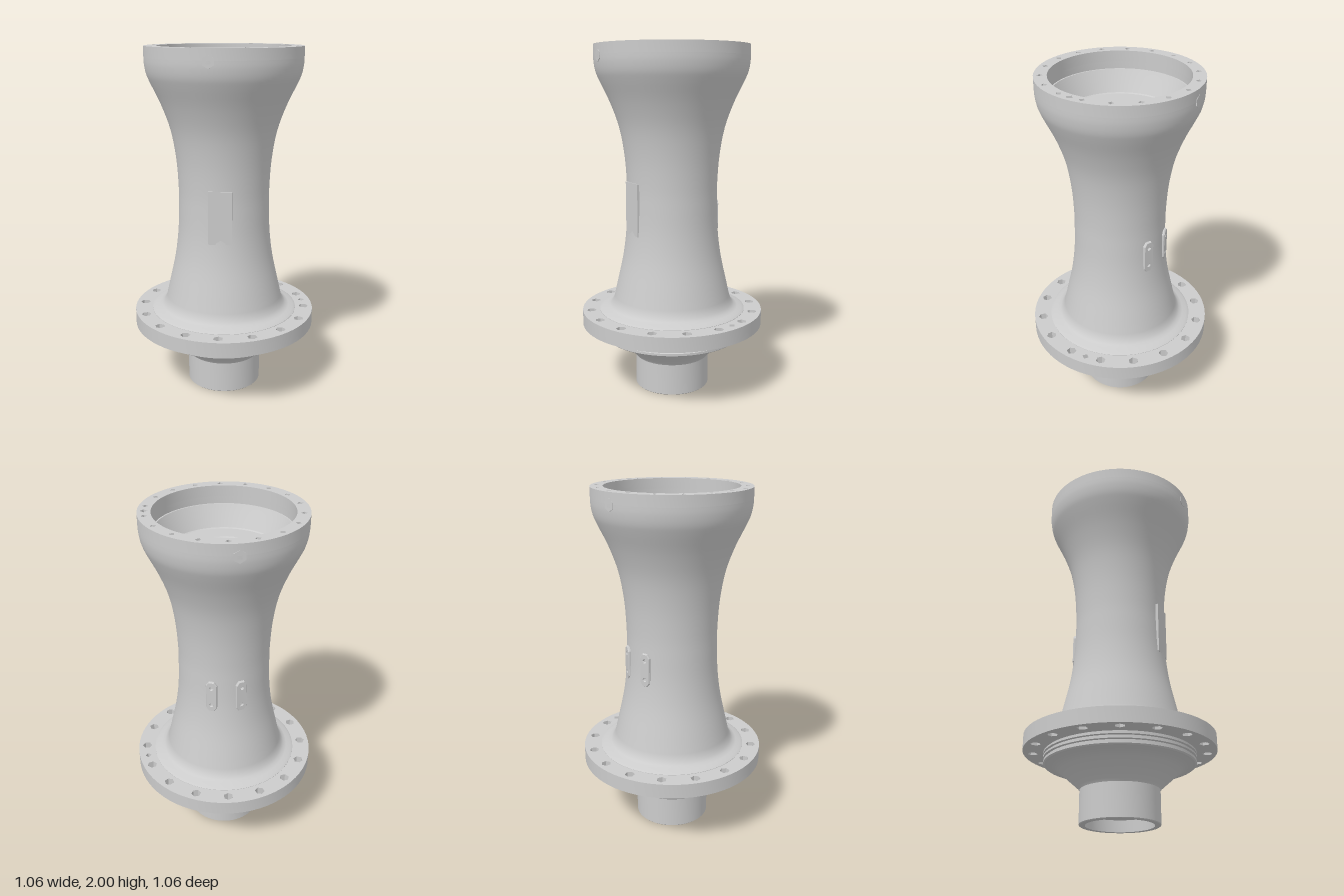
import * as THREE from 'three';
import { toCreasedNormals } from 'three/addons/utils/BufferGeometryUtils.js';

const grey = new THREE.MeshStandardMaterial({ color: 0xcccccc });
const greyDouble = new THREE.MeshStandardMaterial({ color: 0xcccccc, side: THREE.DoubleSide });
const SEGMENTS = 72;

function mesh(name, geometry, material = grey) {
  const m = new THREE.Mesh(geometry, material);
  m.name = name;
  return m;
}

function lathe(name, points) {
  const geo = new THREE.LatheGeometry(points.map(([r, y]) => new THREE.Vector2(r, y)), SEGMENTS);
  return mesh(name, toCreasedNormals(geo, 0.4));
}

// Regular polygon path used for drilled holes
function polygonHole(x, y, radius, sides, turn) {
  const pts = [];
  for (let i = 0; i < sides; i++) {
    const a = turn - (i / sides) * Math.PI * 2;
    pts.push(new THREE.Vector2(x + radius * Math.cos(a), y + radius * Math.sin(a)));
  }
  return new THREE.Path(pts);
}

// Flat ring with a list of holes { angle, at, radius, sides }
function drilledRing(name, outer, inner, y0, y1, holes) {
  const shape = new THREE.Shape().absarc(0, 0, outer, 0, Math.PI * 2);
  shape.holes.push(new THREE.Path().absarc(0, 0, inner, 0, Math.PI * 2, true));
  for (const h of holes) {
    shape.holes.push(polygonHole(h.at * Math.cos(h.angle), h.at * Math.sin(h.angle), h.radius, h.sides, h.angle));
  }
  const geo = new THREE.ExtrudeGeometry(shape, { depth: y1 - y0, bevelEnabled: false, curveSegments: SEGMENTS / 2 });
  geo.rotateX(-Math.PI / 2).translate(0, y0, 0);
  return mesh(name, toCreasedNormals(geo, 0.4));
}

// Turns a part built facing +z to a heading around the y axis
function facing(part, heading, radius, y) {
  part.position.set(radius * Math.sin(heading), y, radius * Math.cos(heading));
  part.rotation.y = heading;
  return part;
}

export function createModel() {
  const model = new THREE.Group();
  model.name = 'flangedColumn';
  const deg = THREE.MathUtils.degToRad;

  // Lower spigot, flare and seal rings
  model.add(lathe('lowerSpigot', [
    [0.185, 0], [0.214, 0], [0.218, 0.004], [0.218, 0.185], [0.228, 0.2],
    [0.325, 0.285], [0.35, 0.302], [0.38, 0.313], [0.41, 0.318], [0.418, 0.324], [0.418, 0.337],
    [0.408, 0.34], [0.408, 0.346], [0.42, 0.349], [0.42, 0.36], [0.408, 0.363],
    [0.408, 0.369], [0.42, 0.372], [0.42, 0.382], [0.41, 0.385], [0.41, 0.392],
  ]));

  // Waisted outer body, sampled from a smooth curve above the collar
  const wall = new THREE.SplineCurve([
    [0.345, 0.54], [0.322, 0.64], [0.287, 0.8], [0.268, 0.95], [0.262, 1.1], [0.262, 1.22],
    [0.273, 1.38], [0.301, 1.54], [0.35, 1.68], [0.407, 1.8], [0.428, 1.85], [0.438, 1.9], [0.44, 1.94],
  ].map(([r, y]) => new THREE.Vector2(r, y))).getPoints(48).map(p => [p.x, p.y]);
  model.add(lathe('body', [
    [0.43, 0.472], [0.43, 0.477], [0.415, 0.486], [0.39, 0.49], [0.37, 0.5], [0.357, 0.515], ...wall,
  ]));

  // Mounting flange with bolt holes and one locating hole
  const boltHoles = Array.from({ length: 16 }, (_, i) => ({ angle: deg(i * 22.5), at: 0.48, radius: 0.028, sides: 6 }));
  boltHoles.push({ angle: deg(11.5), at: 0.48, radius: 0.02, sides: 4 });
  model.add(drilledRing('mountingFlange', 0.532, 0.4, 0.39, 0.475, boltHoles));

  // Top rim with blind holes ending in drill points
  const rimHoles = Array.from({ length: 18 }, (_, i) => ({ angle: deg(10 + i * 20), at: 0.405, radius: 0.016, sides: 4 }));
  rimHoles.push({ angle: 0, at: 0.405, radius: 0.02, sides: 4 });
  model.add(drilledRing('topRim', 0.44, 0.37, 1.94, 2, rimHoles));
  for (const h of rimHoles) {
    const tip = mesh('drillPoint', new THREE.ConeGeometry(h.radius, 0.015, 4, 1, true).rotateX(Math.PI).toNonIndexed(), greyDouble);
    tip.geometry.computeVertexNormals();
    tip.position.set(h.at * Math.cos(h.angle), 1.9325, -h.at * Math.sin(h.angle));
    tip.rotation.y = h.angle;
    model.add(tip);
  }

  // Inner bowl, through bore and lower counterbore
  model.add(lathe('innerBore', [
    [0.37, 1.94], [0.37, 1.9], [0.362, 1.9], [0.345, 1.865], [0.302, 1.785], [0.295, 1.78],
    [0.185, 1.78], [0.17, 1.765], [0.17, 1.735], [0.142, 1.73],
    [0.142, 0.13], [0.17, 0.13], [0.17, 0.07], [0.185, 0.065], [0.185, 0],
  ]));

  // Flat nameplate pad on the front
  const pad = mesh('frontPad', new THREE.BoxGeometry(0.132, 0.3, 0.04));
  pad.position.set(-0.004, 1.09, 0.247);
  model.add(pad);

  // Pair of elongated bosses on the back, each with two holes
  const w = 0.03, h = 0.095, c = 0.022;
  const bossShape = new THREE.Shape([
    [w, -h + c], [w, h - c], [w - c * 0.7, h], [-w + c * 0.7, h],
    [-w, h - c], [-w, -h + c], [-w + c * 0.7, -h], [w - c * 0.7, -h],
  ].map(([x, y]) => new THREE.Vector2(x, y)));
  for (const y of [-0.055, 0.055]) bossShape.holes.push(polygonHole(0, y, 0.011, 6, 0));
  for (const side of [-1, 1]) {
    const geo = new THREE.ExtrudeGeometry(bossShape, {
      depth: 0.04, bevelThickness: 0.006, bevelSize: 0.004, bevelOffset: -0.002, bevelSegments: 1,
    });
    model.add(facing(mesh('backBoss', geo), Math.PI + side * deg(18), 0.229, 1.02));
  }

  // Small radial ports near the top, front and back
  const portShape = new THREE.Shape(polygonHole(0, 0, 0.034, 6, Math.PI / 2).getPoints());
  portShape.holes.push(polygonHole(0, 0, 0.017, 4, Math.PI / 4));
  for (const heading of [-deg(6.5), Math.PI + deg(6.5)]) {
    const geo = new THREE.ExtrudeGeometry(portShape, { depth: 0.014, bevelEnabled: false });
    model.add(facing(mesh('radialPort', geo), heading, 0.428, 1.935));
  }
  return model;
}
